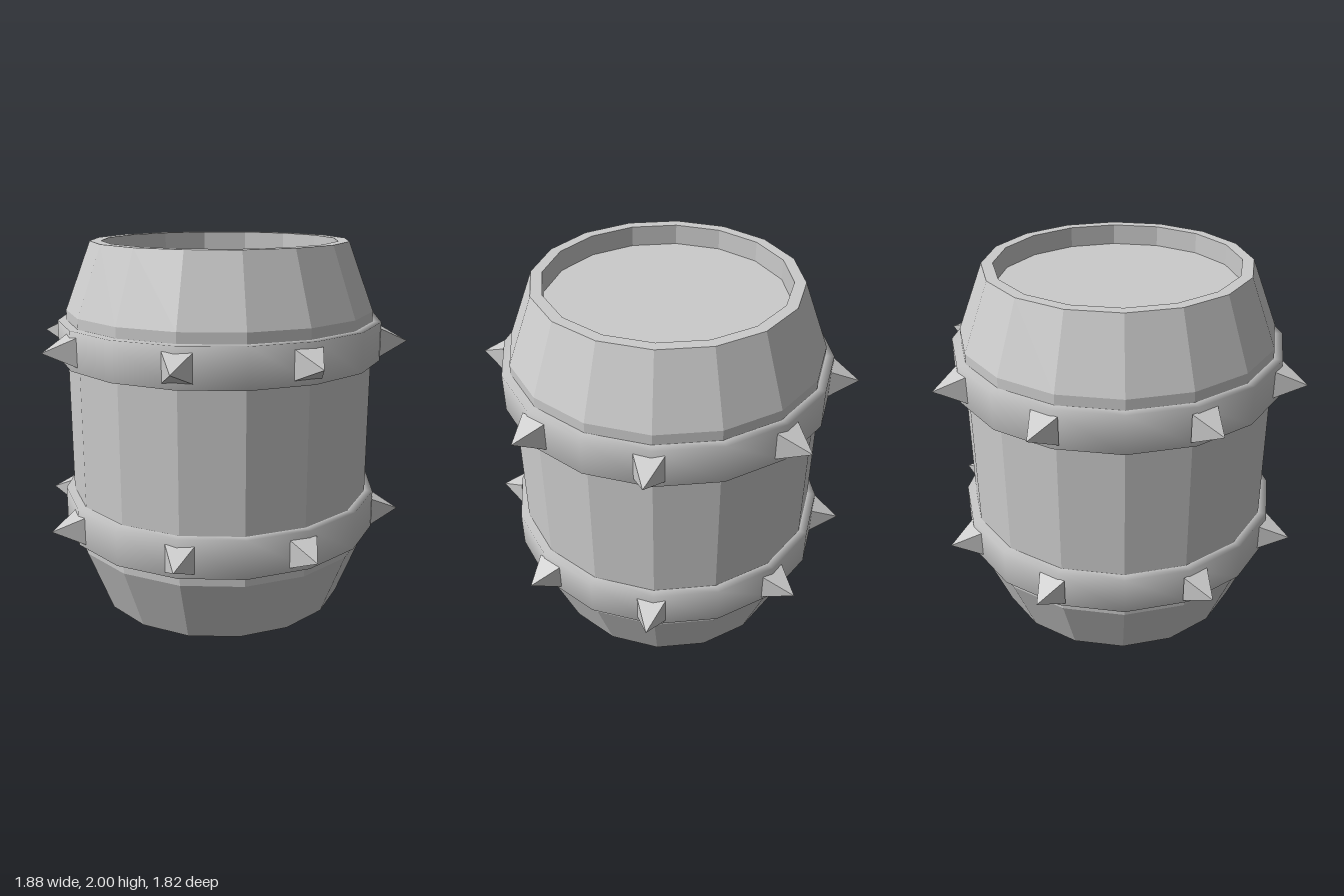
import * as THREE from 'three';

const SIDES = 16;
const DEPTH = 0.987; // the barrel is slightly narrower front to back

const flatMat = new THREE.MeshStandardMaterial({ color: 0xcccccc, flatShading: true });
const smoothMat = new THREE.MeshStandardMaterial({ color: 0xcccccc });

function lathe(points) {
  return new THREE.LatheGeometry(points.map(([r, y]) => new THREE.Vector2(r, y)), SIDES);
}

function flat(geometry) {
  const g = geometry.toNonIndexed();
  g.computeVertexNormals();
  return g;
}

function addMesh(parent, name, geometry, material) {
  const mesh = new THREE.Mesh(geometry, material);
  mesh.name = name;
  parent.add(mesh);
  return mesh;
}

export function createModel() {
  const model = new THREE.Group();
  model.name = 'spikedBarrel';

  const barrel = new THREE.Group();
  barrel.name = 'barrel';
  barrel.scale.z = DEPTH;
  model.add(barrel);

  // Faceted wall with raised rims at both ends
  addMesh(barrel, 'staves', flat(lathe([
    [0.64, 0.11], [0.64, 0], [0.7, 0], [0.84, 0.36],
    [0.84, 1.64], [0.7, 2], [0.64, 2], [0.64, 1.89],
  ])), flatMat);

  // Recessed end discs
  const disc = new THREE.CircleGeometry(0.64, SIDES);
  const lid = addMesh(barrel, 'lid', disc, flatMat);
  lid.rotation.x = -Math.PI / 2;
  lid.position.y = 1.89;
  const base = addMesh(barrel, 'base', disc, flatMat);
  base.rotation.x = Math.PI / 2;
  base.position.y = 0.11;

  // Softly shaded hoops
  const hoop = lathe([[0.83, -0.104], [0.887, -0.104], [0.887, 0.104], [0.83, 0.104]]);

  // Square spikes: base centre and tip in one quadrant, mirrored to the others
  const spikes = [
    { from: [0.37, 0.785], to: [0.447, 0.912] },
    { from: [0.8, 0.34], to: [0.942, 0.412] },
  ];

  for (const [label, y] of [['lower', 0.526], ['upper', 1.481]]) {
    addMesh(barrel, label + 'Hoop', hoop, smoothMat).position.y = y;

    const ring = new THREE.Group();
    ring.name = label + 'Spikes';
    ring.position.y = label === 'lower' ? 0.52 : 1.48;
    model.add(ring);

    for (const { from, to } of spikes) {
      const dx = to[0] - from[0], dz = to[1] - from[1];
      const length = Math.hypot(dx, dz);
      const geometry = flat(new THREE.ConeGeometry(0.075 * Math.SQRT2, length, 4)
        .rotateY(Math.PI / 4).translate(0, length / 2, 0).rotateX(Math.PI / 2));
      for (const sx of [-1, 1]) {
        for (const sz of [-1, 1]) {
          const spike = addMesh(ring, 'spike', geometry, flatMat);
          spike.position.set(sx * from[0], 0, sz * from[1]);
          spike.rotation.y = Math.atan2(sx * dx, sz * dz);
        }
      }
    }
  }

  return model;
}
